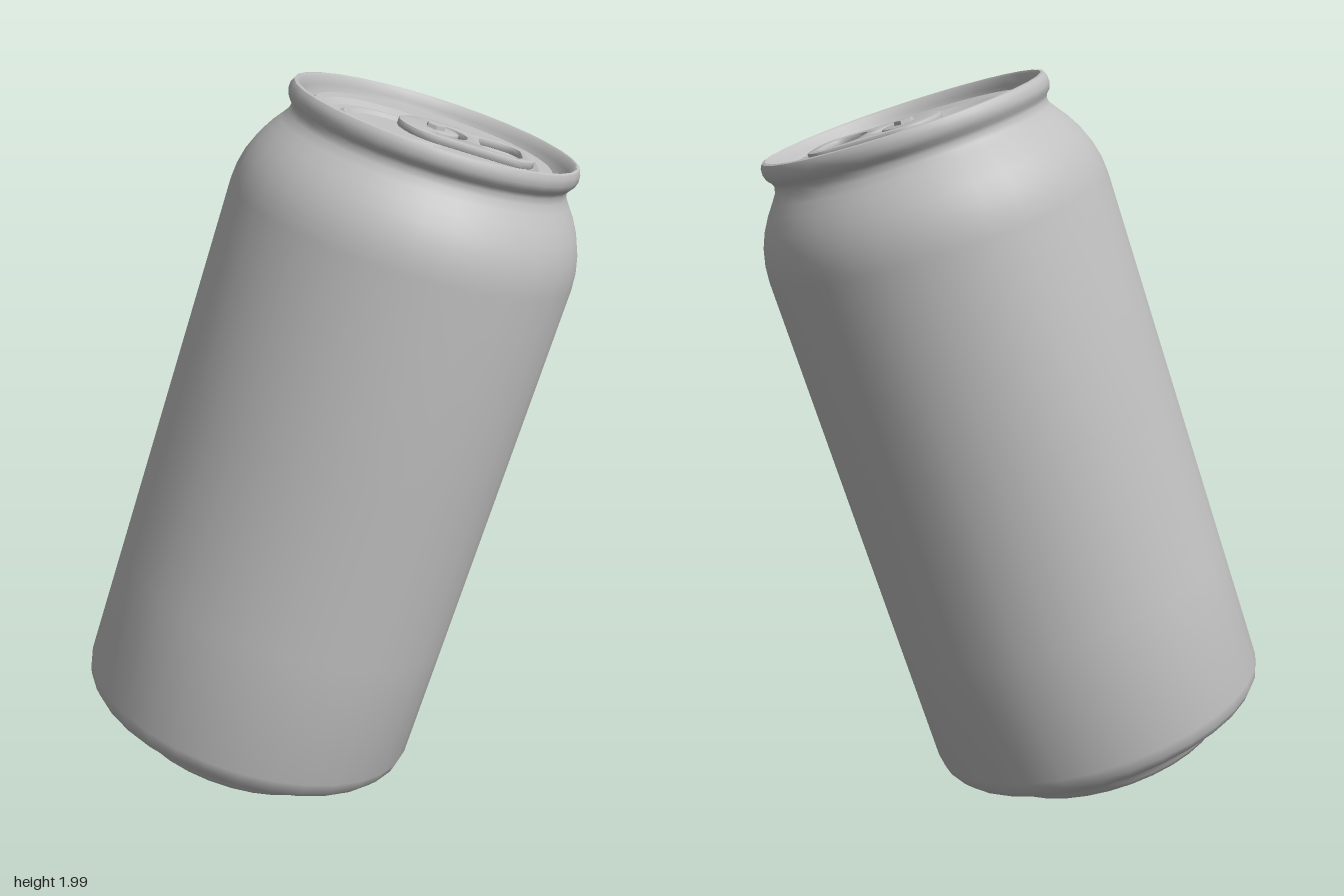
import * as THREE from 'three';
import { toCreasedNormals } from 'three/addons/utils/BufferGeometryUtils.js';

const SEG = 32;
const PANEL_Y = 1.838;
const V = (x, y) => new THREE.Vector2(x, y);

// Points on an arc
function arc(cx, cy, r, a0, a1, n) {
  return Array.from({ length: n + 1 }, (_, i) => {
    const a = a0 + (a1 - a0) * i / n;
    return V(cx + r * Math.cos(a), cy + r * Math.sin(a));
  });
}

// Keyhole outline around the mouth and tab, shrunk by d
function keyhole(d) {
  const r = 0.2 - d, neck = 0.145 - d, end = 0.128 - d, rc = 0.08 - d * 0.5, x = 0.285 - d - rc;
  const a = Math.asin(neck / r);
  return [
    ...arc(-0.1, 0, r, a, 2 * Math.PI - a, 32),
    ...arc(x, -end + rc, rc, -Math.PI / 2, 0, 6),
    ...arc(x, end - rc, rc, 0, Math.PI / 2, 6),
  ];
}

const circle = (x, r, n = SEG) => arc(x, 0, r, 0, 2 * Math.PI, n).slice(0, -1);

// Flat upward-facing sheet with holes
function sheet(outline, holes, y) {
  const shape = new THREE.Shape(outline);
  holes.forEach(h => shape.holes.push(new THREE.Path(h)));
  return new THREE.ShapeGeometry(shape).rotateX(-Math.PI / 2).translate(0, y, 0);
}

// Sloped wall between two matching outlines, outer to inner
function slope(outer, yo, inner, yi) {
  const pos = [];
  const add = (p, y) => pos.push(p.x, y, -p.y);
  outer.forEach((p, i) => {
    const j = (i + 1) % outer.length;
    add(p, yo); add(outer[j], yo); add(inner[j], yi);
    add(p, yo); add(inner[j], yi); add(inner[i], yi);
  });
  const g = new THREE.BufferGeometry();
  g.setAttribute('position', new THREE.Float32BufferAttribute(pos, 3));
  return toCreasedNormals(g, 0.6);
}

export function createModel() {
  const aluminium = new THREE.MeshStandardMaterial({ color: 0xc0c0c0 });
  aluminium.name = 'aluminium';
  const model = new THREE.Group();
  model.name = 'drinkCan';
  const can = new THREE.Group();
  can.name = 'tiltedCan';
  model.add(can);
  const add = (name, geometry) => {
    const mesh = new THREE.Mesh(geometry, aluminium);
    mesh.name = name;
    can.add(mesh);
    return mesh;
  };

  // Shell: domed base, foot, wall, shoulder, neck, rolled rim and lid groove
  const profile = [
    [0, 0.13], [0.09, 0.124], [0.17, 0.106], [0.23, 0.08], [0.272, 0.045], [0.286, 0.012],
    [0.296, 0.002], [0.308, 0], [0.322, 0.005], [0.332, 0.018], [0.343, 0.038], [0.362, 0.05],
    [0.41, 0.068], [0.447, 0.088], [0.465, 0.11], [0.473, 0.14],
    [0.473, 0.5], [0.473, 1.0], [0.473, 1.57],
    [0.469, 1.615], [0.458, 1.66], [0.441, 1.7], [0.418, 1.738], [0.396, 1.767], [0.381, 1.788],
    [0.377, 1.805], [0.381, 1.816], [0.391, 1.826], [0.396, 1.842], [0.395, 1.86], [0.389, 1.871],
    [0.381, 1.873], [0.374, 1.867], [0.368, 1.845], [0.358, 1.812], [0.35, 1.804], [0.342, 1.806],
    [0.334, 1.828], [0.325, PANEL_Y],
  ].map(([x, y]) => V(x, y));
  add('shell', toCreasedNormals(new THREE.LatheGeometry(profile, SEG), 0.7));

  // Lid panel with the recessed keyhole
  const floorY = PANEL_Y - 0.012;
  const outer = keyhole(0), inner = keyhole(0.025);
  add('lidPanel', sheet(circle(0, 0.325), [outer], PANEL_Y));
  add('recessWall', slope(outer, PANEL_Y, inner, floorY));

  // Mouth with a raised bead around it
  const mouthX = -0.105;
  const rings = [0.147, 0.138, 0.128, 0.116].map(r => circle(mouthX, r));
  add('recessFloor', sheet(inner, [rings[0]], floorY));
  add('mouthBeadOutside', slope(rings[0], floorY, rings[1], floorY + 0.006));
  add('mouthBeadTop', slope(rings[1], floorY + 0.006, rings[2], floorY + 0.006));
  add('mouthBeadInside', slope(rings[2], floorY + 0.006, rings[3], floorY - 0.004));
  add('mouthPanel', sheet(rings[3], [], floorY - 0.004));

  // Pull tab with finger hole and a curved slot around the rivet
  const tab = new THREE.Shape([
    ...arc(0.012, 0, 0.112, Math.PI / 2, Math.PI * 1.5, 16),
    ...arc(0.19, -0.027, 0.081, -Math.PI / 2, 0, 6),
    ...arc(0.19, 0.027, 0.081, 0, Math.PI / 2, 6),
  ]);
  const holeCorners = [[1, 1], [-1, 1], [-1, -1], [1, -1]];
  tab.holes.push(new THREE.Path(holeCorners.flatMap(([sx, sy], i) =>
    arc(0.178 + sx * 0.015, sy * 0.035, 0.042, i * Math.PI / 2, (i + 1) * Math.PI / 2, 4))));
  tab.holes.push(new THREE.Path([
    ...arc(0.012, 0, 0.075, -1.75, 1.75, 14),
    ...arc(0.012, 0, 0.052, 1.75, -1.75, 14),
  ]));
  const tabGeometry = new THREE.ExtrudeGeometry(tab, {
    depth: 0.012, bevelEnabled: true, bevelThickness: 0.004, bevelSize: 0.004,
    bevelOffset: -0.004, bevelSegments: 2,
  });
  tabGeometry.rotateX(-Math.PI / 2);
  add('pullTab', toCreasedNormals(tabGeometry, 0.6)).position.y = PANEL_Y + 0.001;

  // Rivet holding the tab
  const rivet = add('rivet', toCreasedNormals(new THREE.CylinderGeometry(0.026, 0.033, 0.04, 6), 0.6));
  rivet.position.y = PANEL_Y + 0.007;

  // Lean the can along its tilted axis
  const up = new THREE.Vector3(0.2916, 0.953, -0.0839).normalize();
  const side = new THREE.Vector3(1, -0.3034, 0.03).normalize();
  const front = new THREE.Vector3().crossVectors(side, up).normalize();
  can.quaternion.setFromRotationMatrix(new THREE.Matrix4().makeBasis(side, up, front));
  can.position.set(-0.255, 0.097, 0.0715);
  return model;
}
